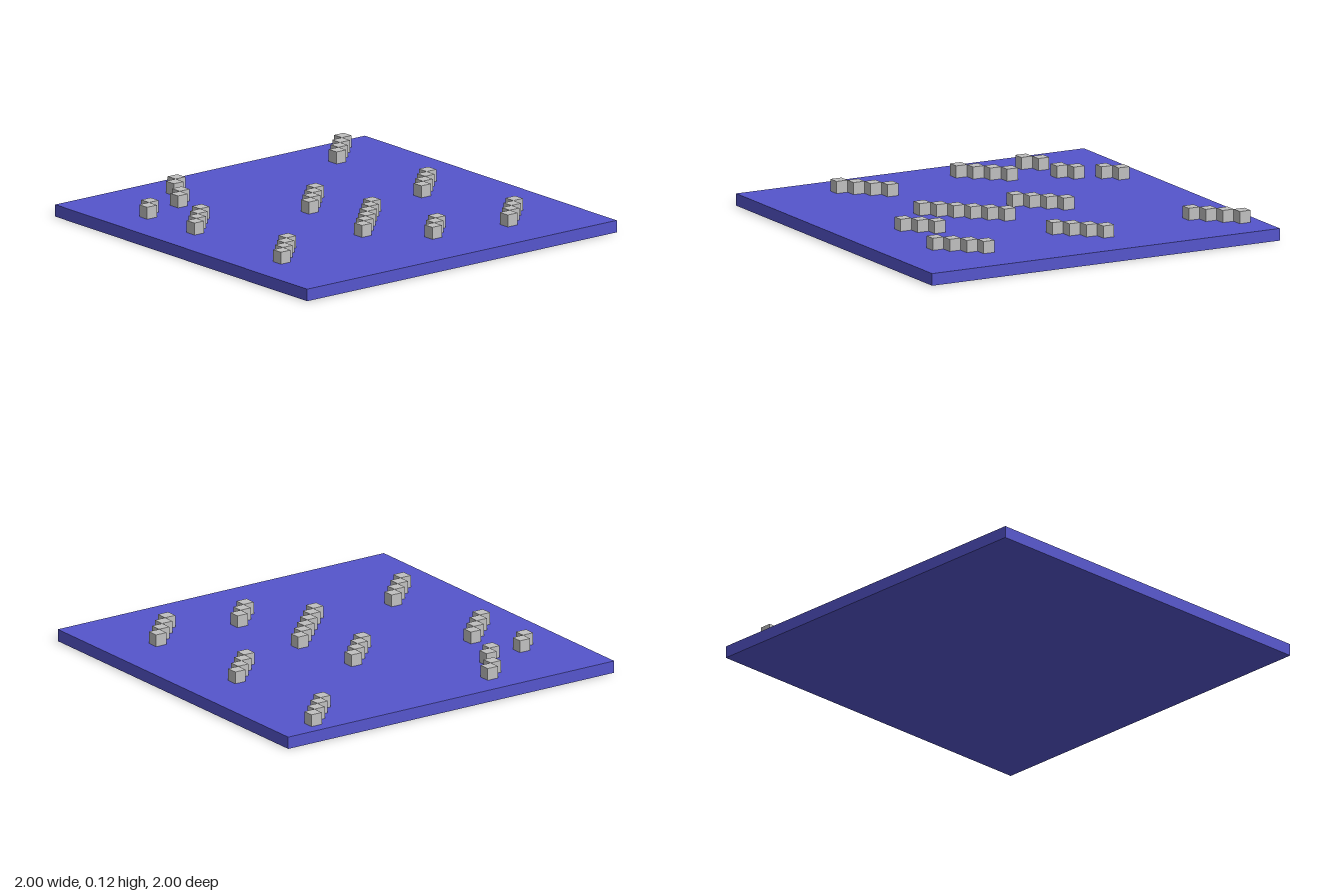
import * as THREE from 'three';

const CELL = 1 / 16; // the slab is a 32 x 32 grid of cells

// Diagonal rows of blocks: [first column, first row, block count]
const ROWS = [
  [1, 3, 4], [13, 4, 4], [24, 4, 4],
  [24, 12, 3], [11, 14, 4], [17, 13, 6],
  [2, 21, 2], [5, 23, 2], [6, 27, 2],
  [10, 25, 4], [21, 25, 4],
];

const cellCentre = (i) => -1 + (i + 0.5) * CELL;

export function createModel() {
  const model = new THREE.Group();
  const blue = new THREE.MeshStandardMaterial({ color: 0x5555cc });
  blue.name = 'blue';
  const grey = new THREE.MeshStandardMaterial({ color: 0xc0c0c0 });
  grey.name = 'light grey';

  // Flat square base
  const slab = new THREE.Mesh(new THREE.BoxGeometry(2, CELL, 2), blue);
  slab.name = 'baseSlab';
  slab.position.y = CELL / 2;
  model.add(slab);

  // Cubes standing on the slab, each row stepping right and forward
  const cube = new THREE.BoxGeometry(CELL, CELL, CELL);
  ROWS.forEach(([column, row, count], r) => {
    const group = new THREE.Group();
    group.name = `blockRow${r + 1}`;
    for (let k = 0; k < count; k++) {
      const block = new THREE.Mesh(cube, grey);
      block.name = 'block';
      block.position.set(cellCentre(column + k), CELL * 1.5, cellCentre(row + k));
      group.add(block);
    }
    model.add(group);
  });

  return model;
}
